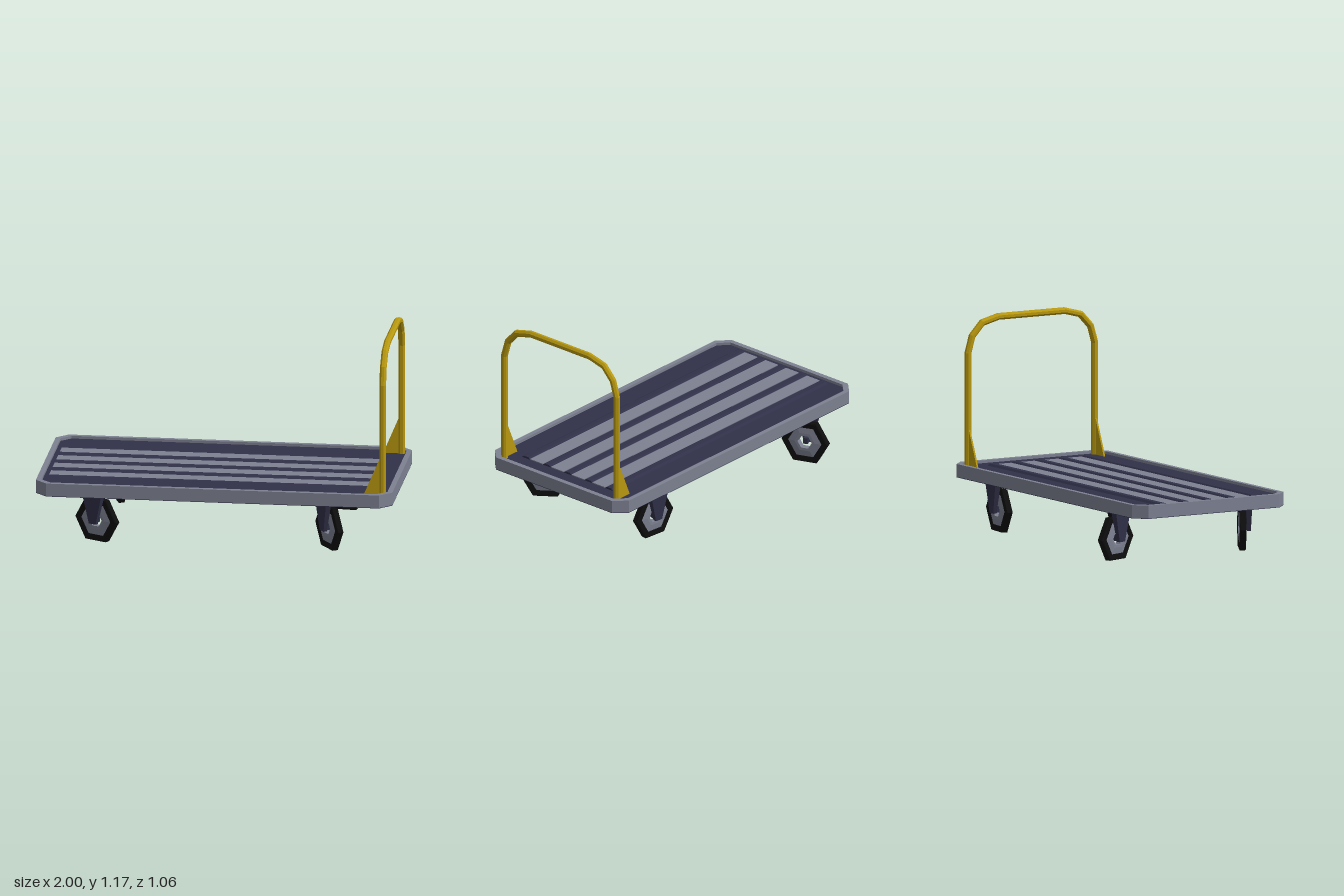
import * as THREE from 'three';

const mat = (name, color) => Object.assign(new THREE.MeshStandardMaterial({ color }), { name });

export function createModel() {
  const navy = mat('navy panel', 0x303048);
  const grey = mat('grey metal', 0x7d8191);
  const yellow = mat('yellow handle', 0xb8980f);
  const black = mat('black rubber', 0x0e0e0e);
  const model = new THREE.Group();
  model.name = 'platformCart';
  const midZ = 0.03;

  // Faceted mesh helper
  function add(parent, name, geometry, material, x = 0, y = 0, z = 0) {
    const g = geometry.index ? geometry.toNonIndexed() : geometry;
    g.computeVertexNormals();
    const mesh = new THREE.Mesh(g, material);
    mesh.name = name;
    mesh.position.set(x, y, z);
    parent.add(mesh);
    return mesh;
  }

  // Deck outline: rectangle with cut corners
  function octagon(w, d, c) {
    return [[-w, -d + c], [-w + c, -d], [w - c, -d], [w, -d + c],
      [w, d - c], [w - c, d], [-w + c, d], [-w, d - c]].map(p => new THREE.Vector2(...p));
  }
  function slab(points, height, hole) {
    const shape = new THREE.Shape(points);
    if (hole) shape.holes.push(new THREE.Path(hole));
    return new THREE.ExtrudeGeometry(shape, { depth: height, bevelEnabled: false }).rotateX(-Math.PI / 2);
  }
  const outer = octagon(1, 0.495, 0.067);
  const inner = octagon(0.971, 0.468, 0.056);
  add(model, 'underside', slab(outer, 0.003), navy, 0, 0.27, midZ);
  add(model, 'deckRim', slab(outer, 0.072, inner), grey, 0, 0.273, midZ);
  add(model, 'deckPanel', slab(inner, 0.057), navy, 0, 0.273, midZ);

  // Grey deck strips between low dark ribs
  const ribShape = new THREE.Shape([[-0.031, 0], [0.031, 0], [0.014, 0.011], [-0.018, 0.011]]
    .map(([z, y]) => new THREE.Vector2(-z, y)).reverse());
  for (let i = 0; i < 5; i++) {
    const z = -0.265 + i * 0.1525;
    const rib = new THREE.ExtrudeGeometry(ribShape, { depth: 1.82, bevelEnabled: false });
    rib.rotateY(Math.PI / 2);
    add(model, 'deckRib', rib, navy, -0.945, 0.33, z);
    if (i < 4) add(model, 'deckStrip', new THREE.BoxGeometry(1.82, 0.006, 0.0925), grey, -0.035, 0.332, z + 0.076);
  }

  // Push handle: mitred tube swept along a bent path in the yz plane
  const half = [[0.414, 0.325], [0.414, 0.96], [0.386, 1.055], [0.321, 1.125], [0.216, 1.152]];
  const path = [...half, ...half.map(([z, y]) => [-z, y]).reverse()].map(p => new THREE.Vector2(...p));
  const sides = 8, r = 0.0195, pos = [], idx = [];
  path.forEach((p, i) => {
    const a = p.clone().sub(path[Math.max(i - 1, 0)]).normalize();
    const b = path[Math.min(i + 1, path.length - 1)].clone().sub(p).normalize();
    if (i === 0) a.copy(b);
    if (i === path.length - 1) b.copy(a);
    const t = a.clone().add(b).normalize();
    const m = r / t.dot(a);
    for (let k = 0; k < sides; k++) {
      const ang = (k + 0.5) / sides * Math.PI * 2;
      const n = Math.sin(ang) * m;
      pos.push(Math.cos(ang) * r, p.y - t.x * n, p.x + t.y * n);
      if (i < path.length - 1) {
        const q = i * sides + k, s = i * sides + (k + 1) % sides;
        idx.push(q, s, q + sides, s, s + sides, q + sides);
      }
    }
  });
  const tube = new THREE.BufferGeometry();
  tube.setAttribute('position', new THREE.Float32BufferAttribute(pos, 3));
  tube.setIndex(idx);
  yellow.side = THREE.DoubleSide;
  add(model, 'pushHandle', tube, yellow, 0.944, 0, midZ);

  // Triangular braces at the feet of the handle
  const brace = new THREE.Shape([[0.84, 0.33], [0.94, 0.33], [0.94, 0.55], [0.925, 0.53]]
    .map(p => new THREE.Vector2(...p)));
  for (const s of [-1, 1]) {
    add(model, 'handleBrace', new THREE.ExtrudeGeometry(brace, { depth: 0.01, bevelEnabled: false }),
      yellow, 0, 0, midZ + s * 0.414 - 0.005);
  }

  // Six-sided ring turned about z, standing on a flat
  const ring = profile => new THREE.LatheGeometry(
    [...profile, profile[0]].map(p => new THREE.Vector2(...p)), 6, Math.PI / 2).rotateX(Math.PI / 2);

  // Swivel caster with a one-sided tapered fork
  function caster(name, x, z, degrees) {
    const g = new THREE.Group();
    g.name = name;
    g.position.set(x, 0, z);
    g.rotation.y = THREE.MathUtils.degToRad(degrees);
    add(g, 'tyre', ring([[0.1, -0.016], [0.132, -0.019], [0.1386, -0.016],
      [0.1386, 0.016], [0.132, 0.019], [0.1, 0.016]]), black, 0, 0.12, 0);
    add(g, 'wheelRim', ring([[0.042, -0.018], [0.06, -0.018], [0.101, -0.013],
      [0.101, 0.013], [0.06, 0.018], [0.042, 0.018]]), grey, 0, 0.12, 0);
    add(g, 'axle', new THREE.BoxGeometry(0.026, 0.034, 0.055), navy, 0, 0.122, 0.02);
    const fork = new THREE.BoxGeometry(0.13, 0.17, 0.034);
    const p = fork.attributes.position;
    for (let i = 0; i < p.count; i++) {
      if (p.getY(i) < 0) p.setXYZ(i, p.getX(i) * 0.36, p.getY(i), p.getZ(i) * 0.6);
    }
    add(g, 'fork', fork, navy, 0, 0.187, 0.039);
    model.add(g);
  }
  caster('frontLeftwardCaster', 0.64, 0.405, -55);
  caster('frontRightwardCaster', -0.66, 0.42, -28);
  caster('backLeftwardCaster', 0.625, -0.374, 174);
  caster('backRightwardCaster', -0.645, -0.395, -70);

  return model;
}
